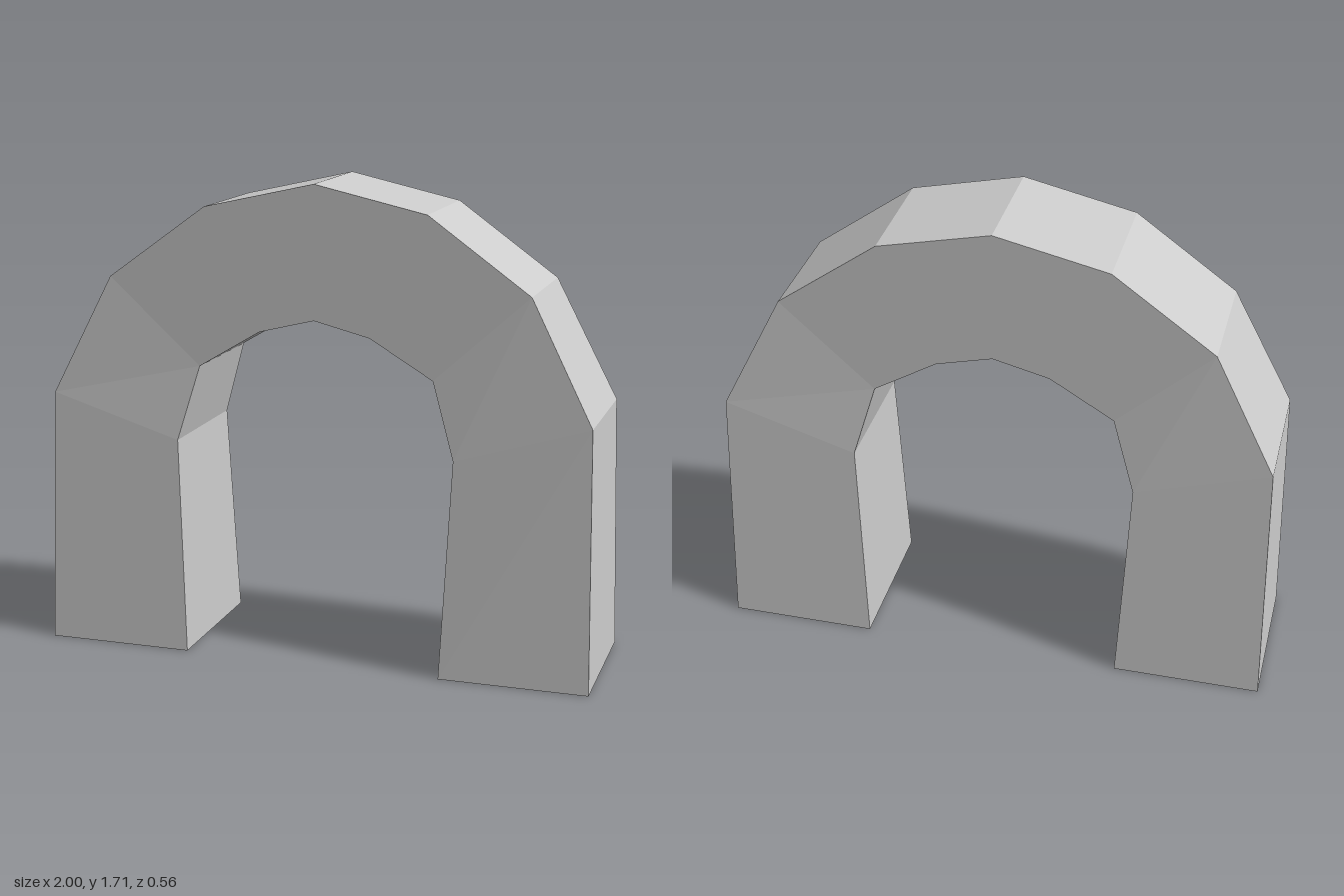
import * as THREE from 'three';

// Half of the arch, foot to crown: outer x, outer y, inner x, inner y, half depth
const HALF = [
  [1.0, 0, 0.47, 0, 0.28],
  [0.98, 0.925, 0.505, 0.78, 0.248],
  [0.76, 1.355, 0.425, 1.05, 0.225],
  [0.4, 1.615, 0.2, 1.185, 0.225],
  [0, 1.705, 0, 1.235, 0.225],
];

// Skins four-cornered rings into a closed bar with capped ends
function loftRings(rings) {
  const positions = [];
  const quad = (a, b, c, d) => positions.push(...a, ...b, ...c, ...a, ...c, ...d);
  for (let i = 0; i < rings.length - 1; i++) {
    const r = rings[i], s = rings[i + 1];
    for (let k = 0; k < 4; k++) {
      const n = (k + 1) % 4;
      quad(r[k], r[n], s[n], s[k]);
    }
  }
  quad(...[...rings[0]].reverse());
  quad(...rings[rings.length - 1]);
  const geometry = new THREE.BufferGeometry();
  geometry.setAttribute('position', new THREE.Float32BufferAttribute(positions, 3));
  geometry.computeVertexNormals();
  return geometry;
}

export function createModel() {
  const group = new THREE.Group();
  group.name = 'archModel';

  // Mirror the half across x to run from the left foot to the right foot
  const mirrored = HALF.slice(0, -1).reverse().map(([ox, oy, ix, iy, d]) => [-ox, oy, -ix, iy, d]);
  const rings = [...HALF, ...mirrored].map(([ox, oy, ix, iy, d]) => [
    [ox, oy, d], [ox, oy, -d], [ix, iy, -d], [ix, iy, d],
  ]);

  // Tapered stone arch
  const arch = new THREE.Mesh(
    loftRings(rings),
    new THREE.MeshStandardMaterial({ color: 0xcccccc, flatShading: true }),
  );
  arch.name = 'arch';
  group.add(arch);
  return group;
}
